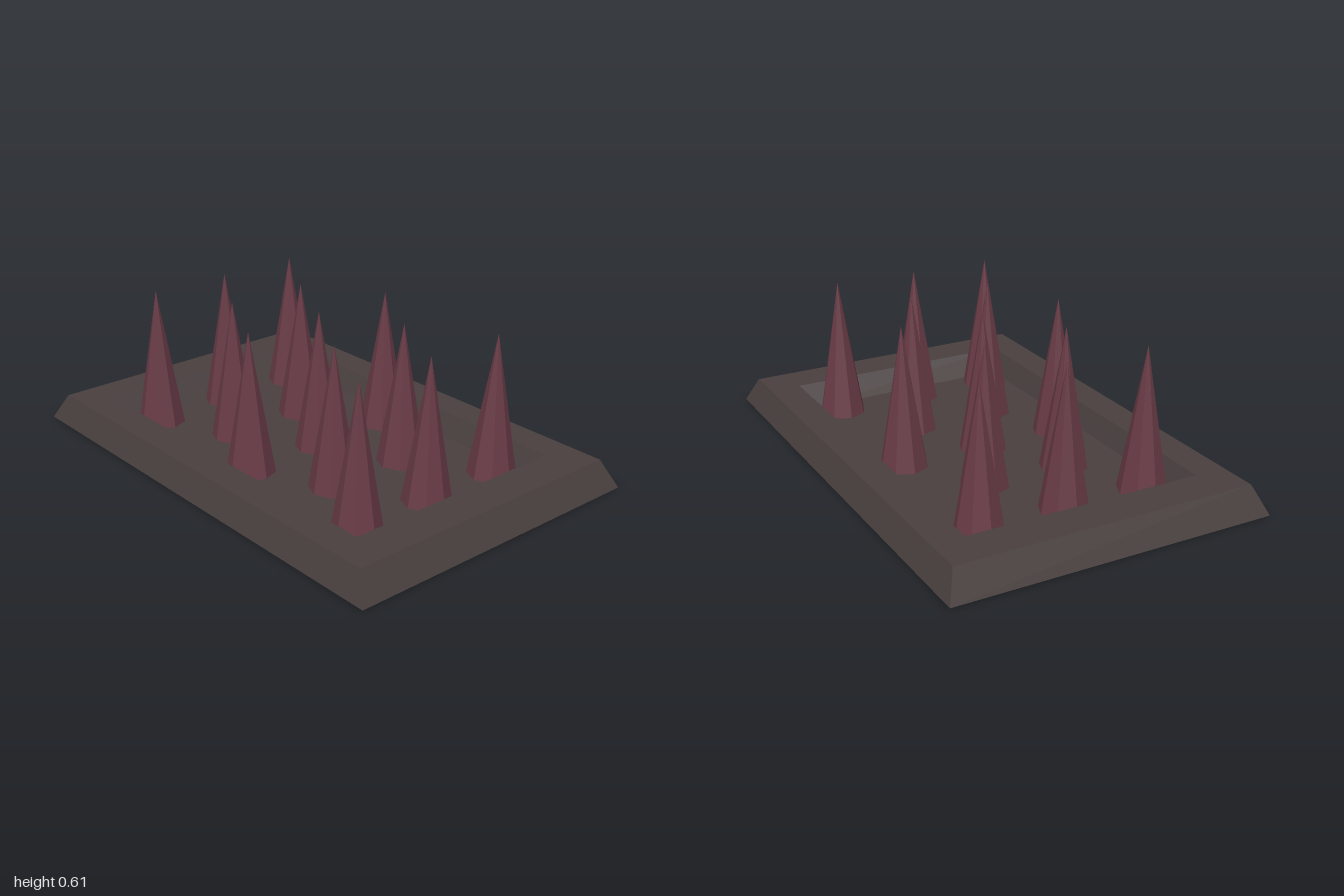
import * as THREE from 'three';

const baseMaterial = new THREE.MeshStandardMaterial({ color: 0x483f3e, flatShading: true });
baseMaterial.name = 'dark stone';
const spikeMaterial = new THREE.MeshStandardMaterial({ color: 0x683a45, flatShading: true });
spikeMaterial.name = 'dull maroon';

// Closed skin through rectangular rings [halfX, halfZ, y], capped at both ends
function rectangularLoft(rings) {
  const positions = [];
  const index = [];
  for (const [hx, hz, y] of rings) {
    positions.push(-hx, y, hz, hx, y, hz, hx, y, -hz, -hx, y, -hz);
  }
  for (let r = 0; r < rings.length - 1; r++) {
    for (let i = 0; i < 4; i++) {
      const a = r * 4 + i;
      const b = r * 4 + ((i + 1) % 4);
      index.push(a, b, b + 4, a, b + 4, a + 4);
    }
  }
  const e = (rings.length - 1) * 4;
  index.push(0, 2, 1, 0, 3, 2, e, e + 1, e + 2, e, e + 2, e + 3);
  const indexed = new THREE.BufferGeometry();
  indexed.setAttribute('position', new THREE.Float32BufferAttribute(positions, 3));
  indexed.setIndex(index);
  const geometry = indexed.toNonIndexed();
  geometry.computeVertexNormals();
  return geometry;
}

export function createModel() {
  const model = new THREE.Group();
  model.name = 'spikeTrap';

  // Bevelled slab with a sunken tray
  const floorY = 0.022;
  const base = new THREE.Mesh(rectangularLoft([
    [1, 0.665, 0],
    [0.935, 0.62, 0.11],
    [0.775, 0.49, 0.11],
    [0.71, 0.45, floorY],
  ]), baseMaterial);
  base.name = 'base';
  model.add(base);

  // Spikes: three rows of three with pairs staggered between them
  const places = [];
  for (const z of [-0.352, 0.003, 0.352]) {
    for (const x of [-0.623, 0, 0.623]) places.push([x, z]);
  }
  for (const z of [-0.157, 0.198]) {
    for (const x of [-0.307, 0.316]) places.push([x, z]);
  }
  const height = 0.605 - floorY;
  const spikeGeometry = new THREE.ConeGeometry(0.098, height, 8);
  const spikes = new THREE.Group();
  spikes.name = 'spikes';
  for (const [x, z] of places) {
    const spike = new THREE.Mesh(spikeGeometry, spikeMaterial);
    spike.name = 'spike';
    spike.position.set(x, floorY + height / 2, z);
    spikes.add(spike);
  }
  model.add(spikes);

  return model;
}
